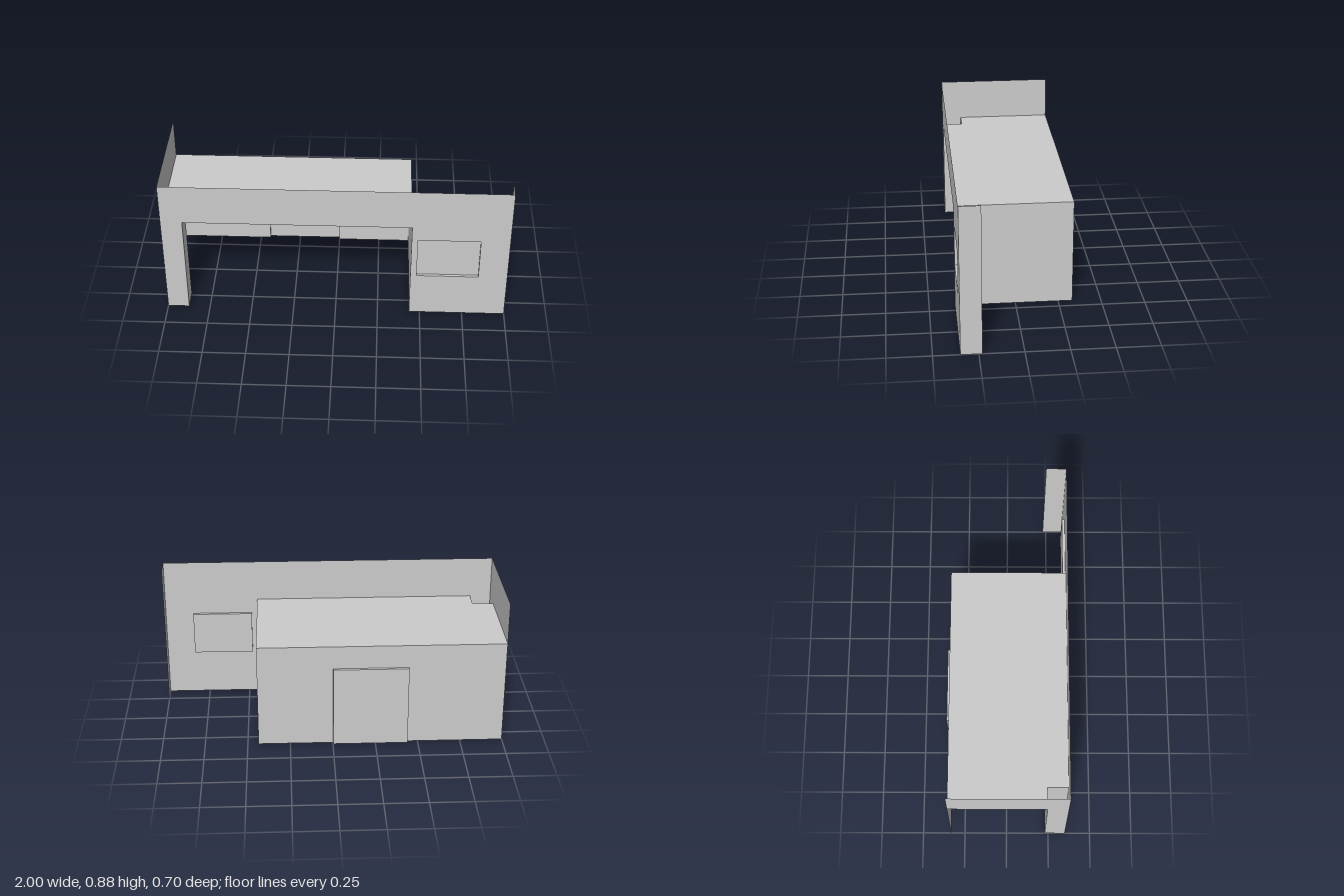
import * as THREE from 'three';

const material = new THREE.MeshStandardMaterial({ color: 0xcccccc, side: THREE.DoubleSide, flatShading: true });

// Main planes of the shell
const H = 0.875, CEIL = 0.627;
const FRONT = 0.35, BACK = -0.333, RETURN = 0.23, DEPTH = 0.017;
const POST = -0.875, SIDE = 0.437;

export function createModel() {
  const model = new THREE.Group();
  model.name = 'buildingFacade';

  const add = (name, geometry, parent = model) => {
    const mesh = new THREE.Mesh(geometry, material);
    mesh.name = name;
    parent.add(mesh);
    return mesh;
  };
  const outline = (pts) => pts.map(([x, y]) => new THREE.Vector2(x, y));
  const rect = (x0, x1, y0, y1) => [[x0, y0], [x1, y0], [x1, y1], [x0, y1]];

  // Thin sheets facing z, x and y
  const sheetZ = (name, z, pts, holes = [], parent) => {
    const shape = new THREE.Shape(outline(pts));
    holes.forEach((h) => shape.holes.push(new THREE.Path(outline(h))));
    return add(name, new THREE.ShapeGeometry(shape).translate(0, 0, z), parent);
  };
  const sheetX = (name, x, z0, z1, y0, y1, parent) =>
    add(name, new THREE.PlaneGeometry(Math.abs(z1 - z0), y1 - y0).rotateY(Math.PI / 2)
      .translate(x, (y0 + y1) / 2, (z0 + z1) / 2), parent);
  const sheetY = (name, y, pts, parent) =>
    add(name, new THREE.ShapeGeometry(new THREE.Shape(outline(pts.map(([x, z]) => [x, -z]))))
      .rotateX(-Math.PI / 2).translate(0, y, 0), parent);

  // Shallow recess behind an opening: back panel and reveals
  const recess = (name, [x0, x1, y0, y1], z, hasSill) => {
    const group = new THREE.Group();
    group.name = name;
    model.add(group);
    const zb = z - DEPTH;
    sheetZ(name + 'Panel', zb, rect(x0, x1, y0, y1), [], group);
    [x0, x1].forEach((x) => sheetX(name + 'Jamb', x, zb, z, y0, y1, group));
    sheetY(name + 'Head', y1, rect(x0, x1, zb, z), group);
    if (hasSill) sheetY(name + 'Sill', y0, rect(x0, x1, zb, z), group);
  };

  const windowBox = [0.473, 0.832, 0.278, 0.538];
  const doorBox = [-0.44, -0.002, 0, 0.487];

  // Front wall with the wide opening and the window hole
  sheetZ('frontWall', FRONT, [
    [-1, 0], [POST, 0], [POST, CEIL], [SIDE, CEIL], [SIDE, 0], [1, 0], [1, H], [-1, H],
  ], [rect(...windowBox)]);
  recess('window', windowBox, FRONT, true);

  // Short return at the left end
  sheetX('leftReturn', 1, RETURN, FRONT, 0, H);

  // Corner post and the band along the right side
  sheetX('postOuterFace', -1, RETURN, FRONT, 0, CEIL);
  sheetX('postInnerFace', POST, RETURN, FRONT, 0, CEIL);
  sheetZ('postBackFace', RETURN, rect(-1, POST, 0, CEIL));
  sheetX('rightBand', -1, BACK, FRONT, CEIL, H);

  // Porch: side wall, back wall with the door, and ceiling around the post
  sheetX('porchSideWall', SIDE, BACK, FRONT, 0, CEIL);
  const [dx0, dx1, , dTop] = doorBox;
  sheetZ('porchBackWall', BACK, [
    [-1, 0], [dx0, 0], [dx0, dTop], [dx1, dTop], [dx1, 0], [SIDE, 0], [SIDE, CEIL], [-1, CEIL],
  ]);
  recess('door', doorBox, BACK, false);
  sheetY('porchCeiling', CEIL, [
    [-1, BACK], [SIDE, BACK], [SIDE, FRONT], [POST, FRONT], [POST, RETURN], [-1, RETURN],
  ]);

  return model;
}
